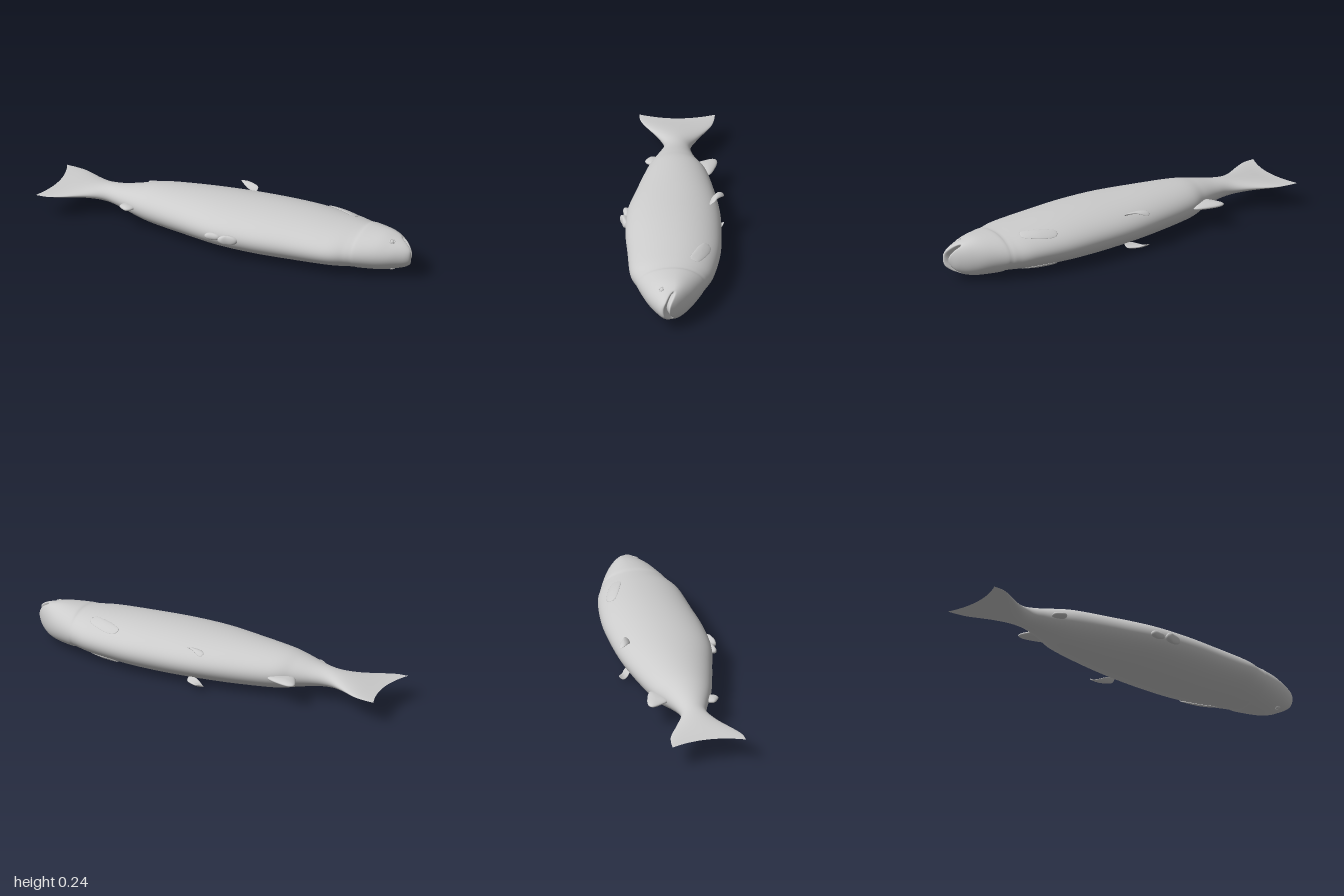
import * as THREE from 'three';

const MID = 0.12; // height of the plane of symmetry: the fish lies on its side

// Body sections: x, belly z, back z, half thickness, z of the widest point
const SECTIONS = [
  [-1.0, -0.195, 0.182, 0.002, -0.005],
  [-0.94, -0.19, 0.176, 0.008, -0.01],
  [-0.88, -0.175, 0.148, 0.016, -0.012],
  [-0.77, -0.12, 0.085, 0.032, -0.015],
  [-0.68, -0.082, 0.052, 0.045, -0.015],
  [-0.6, -0.088, 0.07, 0.056, -0.01],
  [-0.5, -0.122, 0.107, 0.077, -0.01],
  [-0.4, -0.168, 0.137, 0.095, -0.015],
  [-0.2, -0.212, 0.182, 0.108, -0.02],
  [0.0, -0.243, 0.222, 0.115, -0.02],
  [0.2, -0.255, 0.226, 0.119, -0.025],
  [0.4, -0.254, 0.211, 0.116, -0.03],
  [0.6, -0.228, 0.195, 0.106, -0.03],
  [0.69, -0.199, 0.167, 0.1, -0.03],
  [0.72, -0.187, 0.157, 0.099, -0.03],
  [0.75, -0.177, 0.148, 0.103, -0.035],
  [0.84, -0.138, 0.115, 0.1, -0.035],
  [0.9, -0.1, 0.088, 0.088, -0.035],
  [0.95, -0.058, 0.06, 0.07, -0.015],
  [0.98, -0.025, 0.042, 0.051, 0.0],
  [0.995, -0.008, 0.028, 0.032, 0.008],
  [1.0, 0.012, 0.012, 0.0, 0.012],
];
const curve = (f) => new THREE.CatmullRomCurve3(SECTIONS.map(f), false, 'catmullrom');
const edges = curve(([x, lo, hi]) => new THREE.Vector3(x, lo, hi));
const girth = curve(([x, , , half, zc]) => new THREE.Vector3(x, half, zc));

// Half thickness of the body above a given x, z
function bodyHalf(x, z) {
  let a = 0, b = 1;
  for (let i = 0; i < 24; i++) {
    const m = (a + b) / 2;
    if (girth.getPoint(m).x < x) a = m; else b = m;
  }
  const e = edges.getPoint(a), g = girth.getPoint(a);
  const t = (z - g.z) / (z > g.z ? e.z - g.z : g.z - e.y);
  return Math.max(0, g.y) * Math.sqrt(Math.max(0, 1 - t * t));
}

// Closed-loop surface from rings: fn(u, v) gives a point, v wraps around
function loft(rows, cols, fn) {
  const pos = [], index = [];
  for (let i = 0; i <= rows; i++)
    for (let j = 0; j < cols; j++) pos.push(...fn(i / rows, j / cols));
  for (let i = 0; i < rows; i++)
    for (let j = 0; j < cols; j++) {
      const k = (j + 1) % cols, a = i * cols, b = a + cols;
      index.push(a + j, a + k, b + j, a + k, b + k, b + j);
    }
  const geo = new THREE.BufferGeometry();
  geo.setAttribute('position', new THREE.Float32BufferAttribute(pos, 3));
  geo.setIndex(index);
  geo.computeVertexNormals();
  return geo;
}

// Body with tail: half ellipses on both sides of the widest line
function bodyPoint(u, v) {
  const e = edges.getPoint(u), g = girth.getPoint(u), a = v * Math.PI * 2;
  const s = Math.sin(a), half = Math.max(0, g.y);
  const z = g.z + s * (s > 0 ? e.z - g.z : g.z - e.y);
  let x = e.x, y = half * Math.cos(a);
  // hollow rear edge of the tail
  if (x < -0.7) x += 0.042 * (1 - (z / 0.19) ** 2) * ((-0.7 - x) / 0.3) ** 2;
  // crescent mouth pressed into the snout
  if (x > 0.9) {
    const line = 0.002 - 6 * y * y;
    const fade = THREE.MathUtils.smoothstep(x, 0.92, 0.97);
    const dent = fade * Math.exp(-(((z - line) / 0.009) ** 2));
    x -= 0.045 * dent;
    y *= 1 - 0.08 * dent;
  }
  return [x, MID + y, z];
}

// Lens-shaped fin from an outline in x, z; height(x, z) bends its middle surface
function fin(outline, thick, height) {
  const path = new THREE.CatmullRomCurve3(
    outline.map(([x, z]) => new THREE.Vector3(x, 0, z)), true);
  const c = new THREE.Vector3();
  path.getPoints(40).forEach((p) => c.addScaledVector(p, 1 / 41));
  return loft(14, 40, (u, v) => {
    const p = path.getPoint(v).sub(c).multiplyScalar(Math.sin(u * Math.PI)).add(c);
    return [p.x, MID + height(p.x, p.z) + thick * Math.cos(u * Math.PI), p.z];
  });
}

export function createModel() {
  const fish = new THREE.Group();
  fish.name = 'fish';
  const skin = new THREE.MeshStandardMaterial({ color: 0xcccccc });
  skin.name = 'pale grey';
  const add = (name, geo) => {
    const mesh = new THREE.Mesh(geo, skin);
    mesh.name = name;
    fish.add(mesh);
    return mesh;
  };

  add('body', loft((SECTIONS.length - 1) * 8, 80, bodyPoint));

  // Single fins on the plane of symmetry
  const flat = () => 0;
  add('dorsalFinFront', fin([[0.14, 0.215], [0.13, 0.235], [0.085, 0.248], [0.055, 0.256],
    [0.038, 0.25], [0.055, 0.215]], 0.025, flat));
  add('dorsalFinRear', fin([[0.045, 0.21], [0.035, 0.232], [0.0, 0.24], [-0.035, 0.24],
    [-0.042, 0.23], [-0.025, 0.2]], 0.019, flat));
  add('adiposeFin', fin([[-0.49, 0.09], [-0.497, 0.128], [-0.52, 0.143], [-0.55, 0.13],
    [-0.567, 0.112], [-0.55, 0.07]], 0.013, flat));
  add('analFin', fin([[-0.535, -0.15], [-0.553, -0.2], [-0.535, -0.215], [-0.485, -0.212],
    [-0.39, -0.175], [-0.42, -0.13], [-0.5, -0.105]], 0.014, flat));

  // Paired fins and eyes
  for (const s of [1, -1]) {
    const side = s > 0 ? 'upper' : 'lower';
    add(side + 'PectoralFin', fin([[0.45, -0.18], [0.462, -0.203], [0.5, -0.205], [0.58, -0.178],
      [0.635, -0.14], [0.622, -0.108], [0.55, -0.128], [0.48, -0.157]], 0.005,
      (x, z) => s * (bodyHalf(x, z) + 0.004 - 0.05 * Math.max(0, x - 0.55))));
    add(side + 'PelvicFin', fin([[-0.065, -0.245], [-0.058, -0.26], [-0.035, -0.257],
      [0.005, -0.234], [0.045, -0.212], [0.045, -0.193], [-0.01, -0.198]], 0.006,
      (x, z) => s * (0.093 - 14 * (z + 0.228) ** 2)));

    const eye = new THREE.Group();
    eye.name = side + 'Eye';
    const ball = new THREE.Mesh(new THREE.SphereGeometry(0.009, 20, 12), skin);
    ball.name = 'eyeball';
    ball.scale.z = 0.5;
    const rim = new THREE.Mesh(new THREE.TorusGeometry(0.012, 0.003, 8, 28), skin);
    rim.name = 'eyeRim';
    eye.add(ball, rim);
    eye.position.set(0.9, MID + s * bodyHalf(0.9, 0.03), 0.03);
    eye.lookAt(1.25, eye.position.y + s, 0.53);
    fish.add(eye);
  }
  return fish;
}
